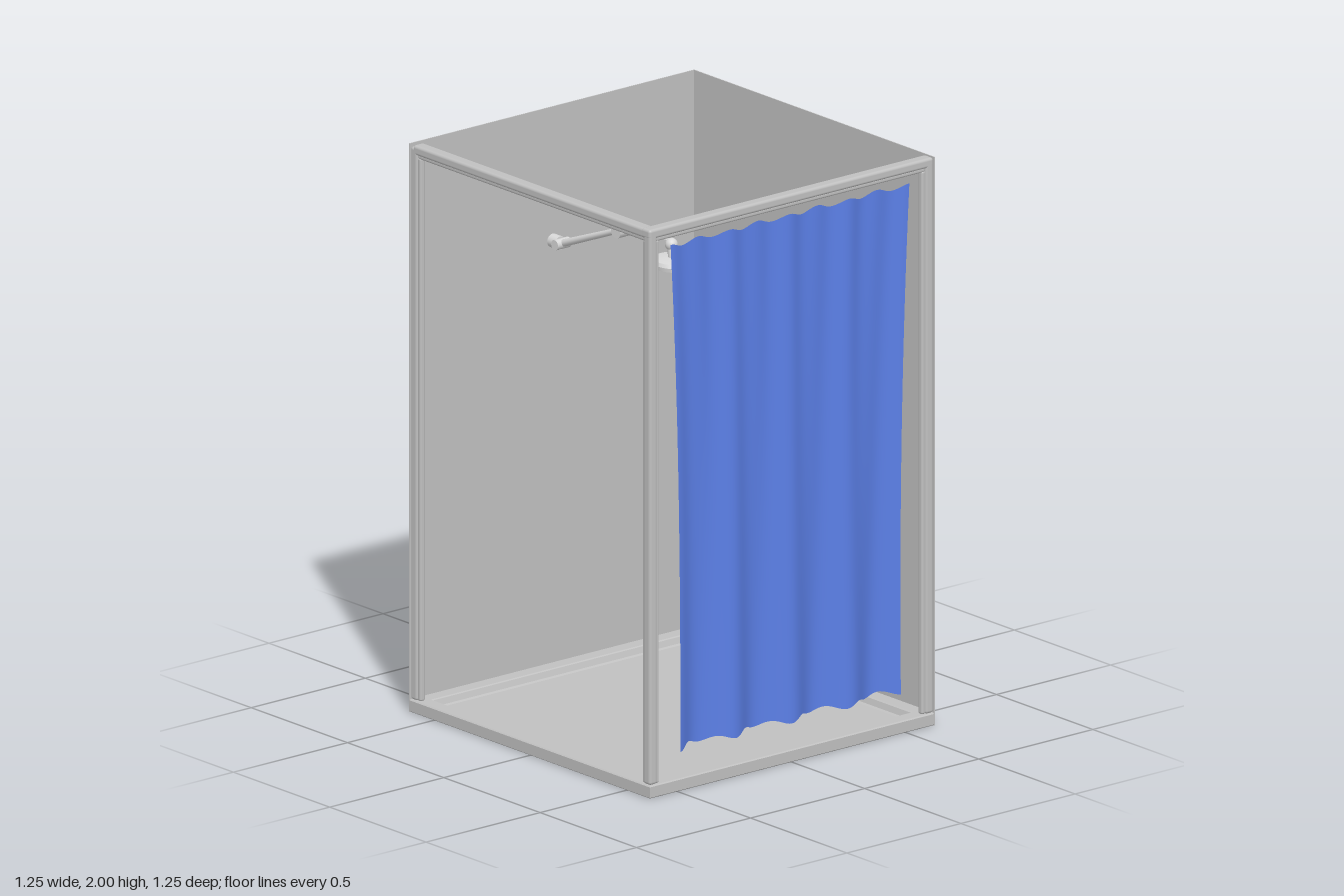
import * as THREE from 'three';
import { toCreasedNormals } from 'three/addons/utils/BufferGeometryUtils.js';
import { RoundedBoxGeometry } from 'three/addons/geometries/RoundedBoxGeometry.js';

const S = 0.625; // half the footprint

function material(name, color, side = THREE.FrontSide) {
  const m = new THREE.MeshStandardMaterial({ color, side });
  m.name = name;
  return m;
}

export function createModel() {
  const group = new THREE.Group();
  const grey = material('panelGrey', 0xc0c0c0);
  const silver = material('fittingSilver', 0xd8d8d8);
  const blue = material('curtainBlue', 0x5b7fe6, THREE.DoubleSide);

  function add(name, geometry, mat, x = 0, y = 0, z = 0) {
    const mesh = new THREE.Mesh(geometry, mat);
    mesh.name = name;
    mesh.position.set(x, y, z);
    group.add(mesh);
    return mesh;
  }

  // Round bar between two points
  function bar(name, from, to, r0, r1 = r0, sides = 16) {
    const a = new THREE.Vector3(...from), b = new THREE.Vector3(...to);
    const dir = b.clone().sub(a);
    const mesh = add(name, new THREE.CylinderGeometry(r1, r0, dir.length(), sides), silver);
    mesh.position.copy(a).add(b).multiplyScalar(0.5);
    mesh.quaternion.setFromUnitVectors(new THREE.Vector3(0, 1, 0), dir.normalize());
    return mesh;
  }

  // Square tray with a raised rim and sloping inner edge
  const trayProfile = [[0, 0], [0.62, 0], [0.625, 0.004], [0.625, 0.041], [0.621, 0.045],
    [0.573, 0.045], [0.568, 0.042], [0.56, 0.022], [0.552, 0.018], [0, 0.018]]
    .map(([r, y]) => new THREE.Vector2(r * Math.SQRT2, y));
  const tray = new THREE.LatheGeometry(trayProfile, 4);
  tray.rotateY(Math.PI / 4);
  add('tray', toCreasedNormals(tray, 0.3), grey);

  // Two thin solid walls
  const t = 0.004;
  add('backWall', new THREE.BoxGeometry(2 * S, 2, t), grey, 0, 1, -S + t / 2);
  add('sideWall', new THREE.BoxGeometry(t, 2, 2 * S), grey, -S + t / 2, 1, 0);

  // Corner posts: rounded tube with a slim inner lip on each open side
  const w = 0.034, c = 0.605, lip = 0.584;
  for (const [name, sx, sz] of [['frontSidePost', -1, 1], ['frontCornerPost', 1, 1], ['backPost', 1, -1]]) {
    add(name, new RoundedBoxGeometry(w, 1.945, w, 3, 0.01), grey, sx * c, 1.0175, sz * c);
    if (sz > 0) add(name + 'FrontLip', new RoundedBoxGeometry(0.018, 1.91, 0.022, 2, 0.007), grey, sx * lip, 1.0, sz * c);
    if (sx > 0) add(name + 'SideLip', new RoundedBoxGeometry(0.022, 1.91, 0.018, 2, 0.007), grey, sx * c, 1.0, sz * lip);
  }

  // Top rails with matching lips
  add('frontRail', new RoundedBoxGeometry(1.23, 0.034, 0.046, 3, 0.01), grey, 0.005, 1.98, 0.599);
  add('frontRailLip', new RoundedBoxGeometry(1.18, 0.018, 0.022, 2, 0.007), grey, 0, 1.96, c);
  add('sideRail', new RoundedBoxGeometry(0.046, 0.034, 1.245, 3, 0.01), grey, 0.599, 1.981, 0);
  add('sideRailLip', new RoundedBoxGeometry(0.022, 0.018, 1.18, 2, 0.007), grey, c, 1.96, 0);

  // Curtain: plane with scalloped hems, a narrowed waist and folds deepening downwards
  const cloth = new THREE.PlaneGeometry(1, 1, 96, 40);
  const p = cloth.attributes.position;
  for (let i = 0; i < p.count; i++) {
    const u = p.getX(i) * 2, v = p.getY(i) + 0.5;
    const half = 0.478 + 0.007 * (1 - v) + 0.045 * Math.pow(v, 2.5);
    const z = -u * half - 0.005;
    const hem = 0.009 * Math.cos(u * Math.PI * 8);
    const y = 0.14 + 1.774 * v + hem * (v > 0.5 ? 1 : -0.8) * Math.abs(2 * v - 1);
    const depth = 0.007 + 0.021 * Math.pow(1 - v, 1.3);
    const fold = Math.cos((z + 0.14) * Math.PI * 2 / 0.255);
    const ripple = Math.cos(u * Math.PI * 8) * v * 0.006;
    p.setXYZ(i, 0.594 - depth * fold + ripple - 0.006 * (1 - v), y, z);
  }
  cloth.computeVertexNormals();
  add('curtain', cloth, blue);

  // Shower arm: wall bracket, sloping bar, pivot and thin upper bar
  bar('wallBracket', [-0.62, 1.53, 0], [-0.58, 1.53, 0], 0.024);
  bar('lowerPivot', [-0.574, 1.53, -0.03], [-0.574, 1.53, 0.03], 0.018);
  bar('lowerArm', [-0.574, 1.53, 0], [-0.25, 1.66, 0], 0.013, 0.01);
  bar('middlePivot', [-0.25, 1.66, -0.036], [-0.25, 1.66, 0.036], 0.025, 0.025, 24);
  add('upperArm', new THREE.BoxGeometry(0.25, 0.006, 0.018), silver, -0.125, 1.678, 0);

  // Shower head: ball joint, neck and disc
  add('headJoint', new THREE.SphereGeometry(0.022, 20, 14), silver, -0.003, 1.668, 0);
  bar('headNeck', [-0.003, 1.668, 0], [0.01, 1.618, 0], 0.014, 0.02);
  const headProfile = [[0, -0.012], [0.06, -0.012], [0.066, -0.016], [0.074, -0.014], [0.076, 0],
    [0.07, 0.012], [0.03, 0.017], [0, 0.018]].map(([r, y]) => new THREE.Vector2(r, y));
  const head = add('showerHead', toCreasedNormals(new THREE.LatheGeometry(headProfile, 32), 0.6), silver, 0.012, 1.61, 0);
  head.rotation.z = -0.03;

  // Small nozzles under the disc
  for (const [ring, n] of [[0.025, 6], [0.048, 12]]) {
    for (let i = 0; i < n; i++) {
      const a = i * Math.PI * 2 / n;
      add('nozzle', new THREE.CylinderGeometry(0.004, 0.003, 0.006, 8), silver,
        0.012 + ring * Math.cos(a), 1.596, ring * Math.sin(a));
    }
  }

  return group;
}
